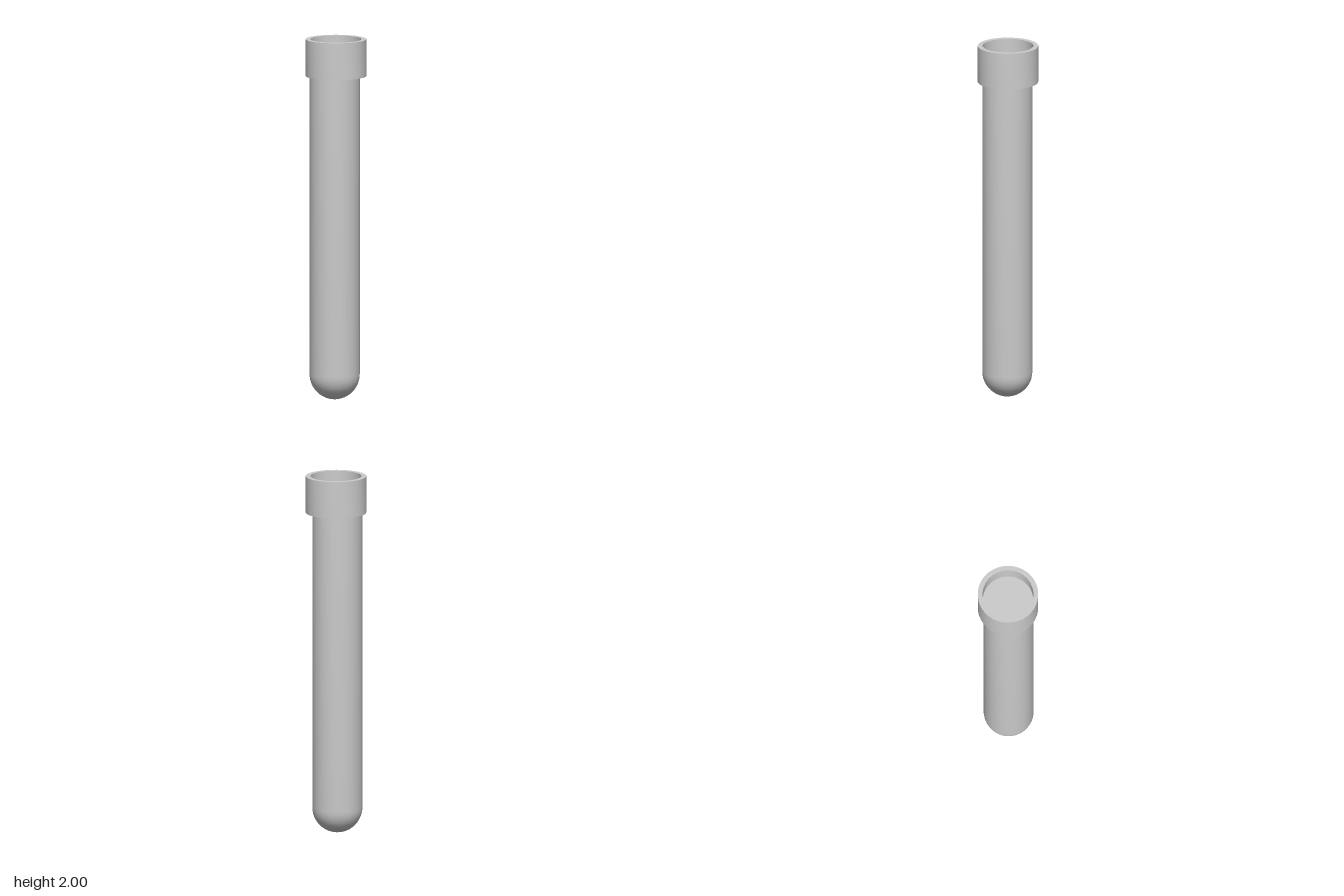
import * as THREE from 'three';
import { toCreasedNormals } from 'three/addons/utils/BufferGeometryUtils.js';

const SEGMENTS = 32;

// Revolve a profile of [radius, height] pairs, keeping sharp edges crisp
function revolve(name, profile) {
  const points = profile.map(([r, y]) => new THREE.Vector2(r, y));
  const geometry = toCreasedNormals(new THREE.LatheGeometry(points, SEGMENTS), Math.PI / 5);
  const material = new THREE.MeshStandardMaterial({ color: 0xcccccc });
  const mesh = new THREE.Mesh(geometry, material);
  mesh.name = name;
  return mesh;
}

export function createModel() {
  const group = new THREE.Group();
  group.name = 'testTube';

  // Tube: round bottom, straight wall running up into the cap
  const radius = 0.138;
  const steps = 12;
  const tubeProfile = [];
  for (let i = 0; i <= steps; i++) {
    const a = (i / steps) * Math.PI / 2;
    tubeProfile.push([radius * Math.sin(a), radius * (1 - Math.cos(a))]);
  }
  tubeProfile.push([radius, 1.85]);
  const tube = revolve('tube', tubeProfile);
  tube.position.x = -0.008;
  group.add(tube);

  // Cap: wider collar with a shallow round recess in its top
  group.add(revolve('cap', [
    [0, 1.795], [0.167, 1.795], [0.167, 2], [0.14, 2], [0.14, 1.9], [0, 1.9],
  ]));

  return group;
}
